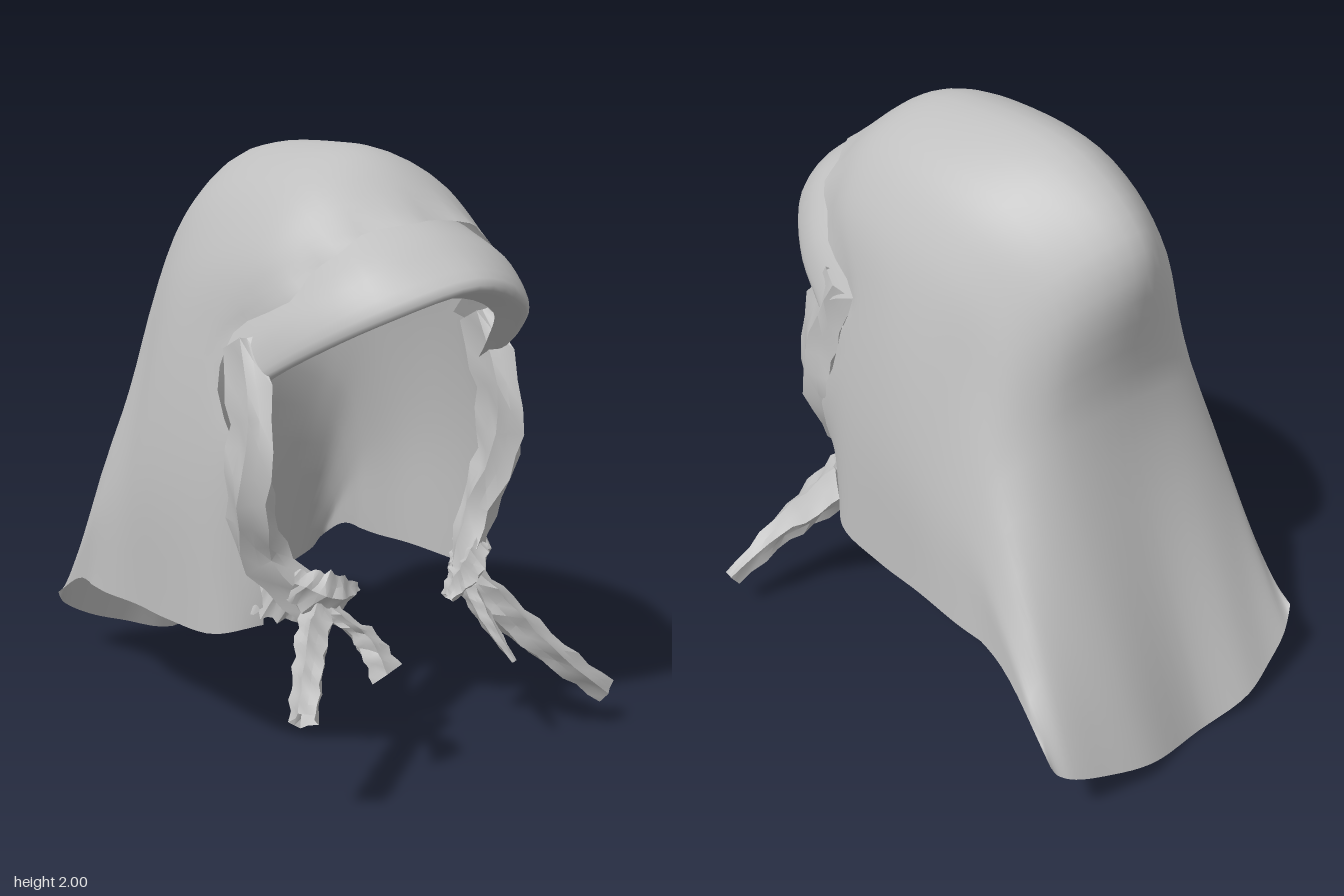
import * as THREE from 'three';
import { toCreasedNormals } from 'three/addons/utils/BufferGeometryUtils.js';

const V = (p) => new THREE.Vector3(...p);
const curve = (pts) => new THREE.CatmullRomCurve3(pts);

// Triangulates rows of points into one surface
function gridGeometry(rows) {
  const n = rows[0].length, index = [];
  for (let i = 0; i < rows.length - 1; i++) {
    for (let j = 0; j < n - 1; j++) {
      const a = i * n + j, b = a + 1, c = a + n, d = c + 1;
      index.push(a, b, c, b, d, c);
    }
  }
  const geometry = new THREE.BufferGeometry().setFromPoints(rows.flat());
  geometry.setIndex(index);
  geometry.computeVertexNormals();
  return geometry;
}

// Cloth spanned by lines on one half, mirrored to the other
function mirroredCloth(lines, nu, nv, adjust) {
  const curves = lines.map((line) => curve(line.map(V)));
  const rows = [];
  for (let i = 0; i <= nu; i++) {
    const half = curves.map((c) => c.getPoint(i / nu));
    const other = half.slice(1).reverse().map((p) => new THREE.Vector3(-p.x, p.y, p.z));
    const across = curve([...other, ...half]);
    const row = [];
    for (let j = 0; j <= nv; j++) {
      const p = across.getPoint(j / nv);
      adjust(p, i / nu, j / nv);
      row.push(p);
    }
    rows.push(row);
  }
  return gridGeometry(rows);
}

// Pleated, twisting band; each stop is [x, y, z, half width across, half width deep]
function band(stops, twist, steps = 12) {
  const path = curve(stops.map((s) => V(s.slice(0, 3))));
  const sizes = curve(stops.map((s) => V([s[3], s[4], 0])));
  const sides = 10, rows = [];
  for (let i = 0; i <= steps; i++) {
    const t = i / steps;
    const p = path.getPoint(t), size = sizes.getPoint(t), dir = path.getTangent(t);
    const across = new THREE.Vector3(0, 0, 1).cross(dir).normalize();
    const deep = dir.clone().cross(across).normalize();
    const row = [];
    for (let j = 0; j <= sides; j++) {
      const turn = (j / sides) * Math.PI * 2 + twist * t;
      const pleat = (j % 2 ? 0.72 : 1) * (1 + 0.13 * Math.sin(i * 2.3 + (j % sides) * 1.7));
      row.push(p.clone()
        .addScaledVector(across, Math.cos(turn) * size.x * pleat)
        .addScaledVector(deep, Math.sin(turn) * size.y * pleat));
    }
    rows.push(row);
  }
  return toCreasedNormals(gridGeometry(rows), 0.6);
}

export function createModel() {
  const group = new THREE.Group();
  group.name = 'headscarf';
  const cloth = new THREE.MeshStandardMaterial({ color: 0xbfbfbf, side: THREE.DoubleSide });
  cloth.name = 'grey cloth';
  const add = (name, geometry, parent = group) => {
    const mesh = new THREE.Mesh(geometry, cloth);
    mesh.name = name;
    parent.add(mesh);
  };

  // Hood and back drape: lines from the face opening to the back hem
  const crown = [[0, 1.79, 0.72], [0, 1.97, 0.45], [0, 2, 0.2], [0, 1.94, -0.26],
    [0, 1.7, -0.54], [0, 1.15, -0.51], [0, 0, -0.9]];
  const upper = [[0.25, 1.74, 0.67], [0.25, 1.88, 0.45], [0.26, 1.9, 0.2], [0.25, 1.82, -0.18],
    [0.22, 1.6, -0.44], [0.26, 1.12, -0.49], [0.25, 0.06, -0.94]];
  const temple = [[0.39, 1.58, 0.57], [0.41, 1.68, 0.42], [0.42, 1.69, 0.2], [0.4, 1.63, -0.08],
    [0.37, 1.46, -0.31], [0.4, 1.06, -0.45], [0.42, 0.12, -0.92]];
  const cheek = [[0.49, 1.38, 0.32], [0.5, 1.4, 0.25], [0.505, 1.41, 0.1], [0.49, 1.38, -0.05],
    [0.46, 1.27, -0.23], [0.49, 0.98, -0.4], [0.54, 0.18, -0.9]];
  const neck = [[0.51, 1.0, 0.47], [0.55, 1.0, 0.3], [0.575, 0.95, 0.1], [0.575, 0.92, -0.06],
    [0.56, 0.86, -0.22], [0.565, 0.74, -0.4], [0.59, 0.22, -0.88]];
  const hem = [[0.45, 0.54, 0.49], [0.55, 0.49, 0.36], [0.58, 0.47, 0.12], [0.585, 0.46, -0.1],
    [0.59, 0.44, -0.3], [0.59, 0.42, -0.55], [0.61, 0.26, -0.87]];
  add('hood', mirroredCloth([crown, upper, temple, cheek, neck, hem], 36, 48, (p, u, v) => {
    const ripple = Math.max(0, 1 - u * 12);
    const flare = THREE.MathUtils.clamp((-p.z - 0.42) / 0.48, 0, 1);
    p.z += ripple * 0.018 * Math.sin(v * 70);
    p.x += -0.1 + 0.17 * flare * Math.abs(p.x);
  }));

  // Rolled brim: from the tuck inside the face opening, over the lip, to under the hood edge
  const brimLines = [
    [[0, 1.57, 0.82], [0, 1.62, 0.96], [0, 1.72, 0.83], [0, 1.8, 0.68]],
    [[0.24, 1.5, 0.74], [0.26, 1.54, 0.87], [0.26, 1.66, 0.78], [0.24, 1.74, 0.62]],
    [[0.38, 1.37, 0.56], [0.42, 1.42, 0.68], [0.42, 1.52, 0.62], [0.38, 1.59, 0.5]],
    [[0.46, 1.24, 0.4], [0.5, 1.3, 0.48], [0.5, 1.36, 0.42], [0.475, 1.41, 0.27]],
  ];
  add('brim', mirroredCloth(brimLines, 14, 28, (p) => { p.x -= 0.1; }));

  // Gathered edges, knots and loose tails on each side
  const ties = {
    rightTie: {
      edge: [[-0.57, 1.42, 0.4, 0.04, 0.09], [-0.6, 1.2, 0.51, 0.05, 0.11],
        [-0.62, 0.97, 0.53, 0.07, 0.09], [-0.56, 0.77, 0.51, 0.08, 0.06], [-0.42, 0.61, 0.58, 0.07, 0.05]],
      gather: [[-0.54, 0.66, 0.46, 0.11, 0.03], [-0.49, 0.64, 0.52, 0.09, 0.05], [-0.4, 0.62, 0.58, 0.06, 0.05]],
      knot: [[-0.5, 0.68, 0.56, 0.05, 0.05], [-0.4, 0.64, 0.6, 0.08, 0.06], [-0.26, 0.63, 0.57, 0.02, 0.03]],
      longTail: [[-0.42, 0.6, 0.6, 0.05, 0.05], [-0.53, 0.5, 0.72, 0.05, 0.05], [-0.65, 0.38, 0.86, 0.04, 0.05]],
      shortTail: [[-0.4, 0.6, 0.6, 0.04, 0.04], [-0.31, 0.51, 0.68, 0.04, 0.04], [-0.27, 0.4, 0.76, 0.06, 0.025]],
    },
    leftTie: {
      edge: [[0.36, 1.42, 0.4, 0.04, 0.09], [0.37, 1.2, 0.51, 0.05, 0.11],
        [0.37, 0.97, 0.53, 0.07, 0.09], [0.29, 0.78, 0.52, 0.07, 0.06], [0.18, 0.6, 0.58, 0.06, 0.05]],
      gather: [[0.35, 0.66, 0.46, 0.12, 0.03], [0.28, 0.64, 0.51, 0.09, 0.06], [0.18, 0.61, 0.58, 0.05, 0.05]],
      knot: [[0.25, 0.68, 0.56, 0.04, 0.05], [0.18, 0.6, 0.6, 0.06, 0.06], [0.1, 0.53, 0.6, 0.02, 0.03]],
      longTail: [[0.19, 0.6, 0.57, 0.05, 0.06], [0.31, 0.45, 0.63, 0.06, 0.1],
        [0.46, 0.29, 0.74, 0.05, 0.06], [0.66, 0.13, 0.79, 0.045, 0.025]],
      shortTail: [[0.16, 0.59, 0.6, 0.03, 0.04], [0.19, 0.47, 0.68, 0.025, 0.03], [0.24, 0.33, 0.78, 0.008, 0.012]],
    },
  };
  for (const [name, parts] of Object.entries(ties)) {
    const tie = new THREE.Group();
    tie.name = name;
    group.add(tie);
    for (const [part, stops] of Object.entries(parts)) add(part, band(stops, 0.5), tie);
  }
  return group;
}
